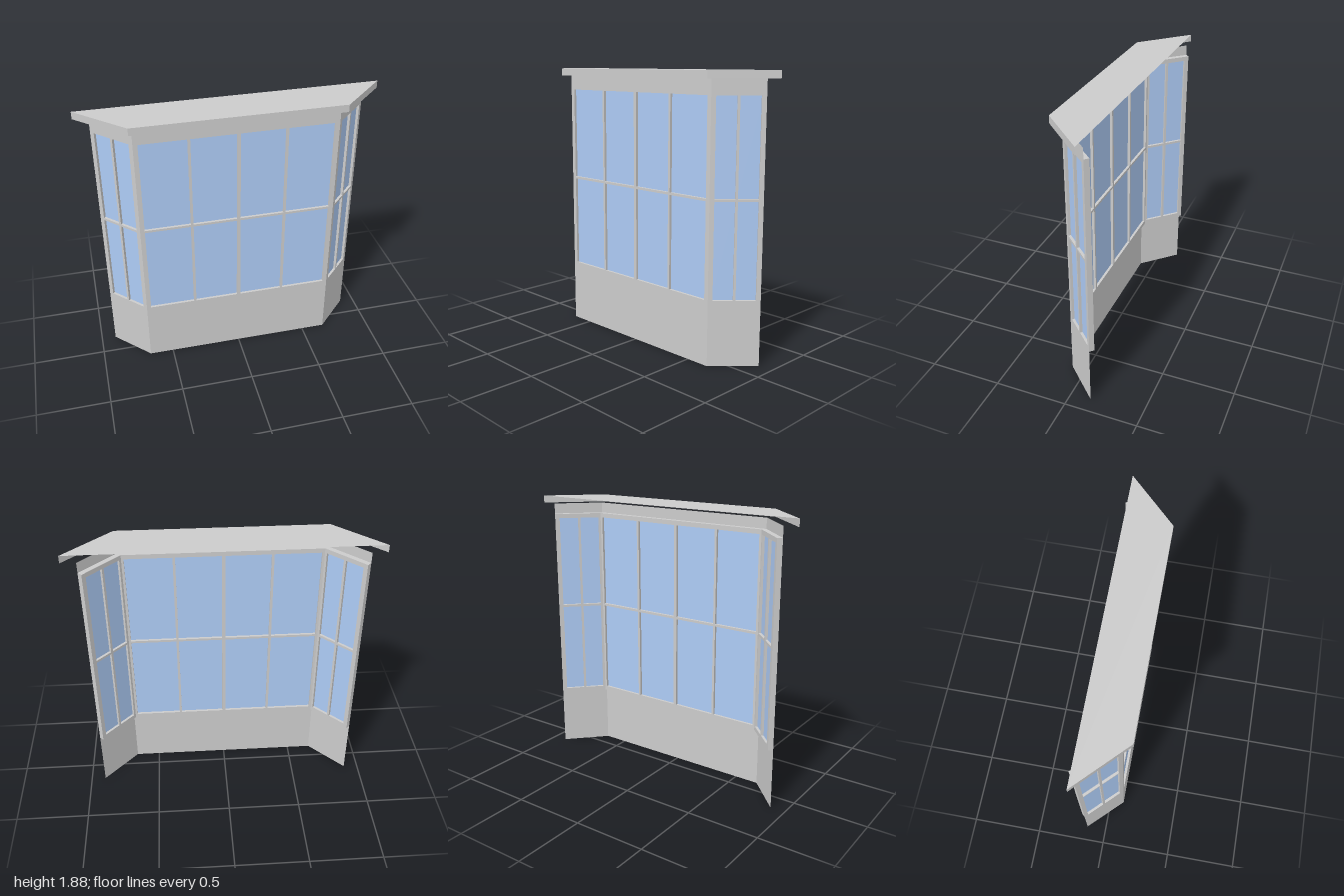
import * as THREE from 'three';

const SILL = 0.41, HEAD = 1.76, TOP = 1.83, ROOF = 1.88;
const FRAME = 0.03, DEPTH = 0.035;

const grey = new THREE.MeshStandardMaterial({ color: 0xcccccc, side: THREE.DoubleSide, flatShading: true });
const blue = new THREE.MeshStandardMaterial({ color: 0xadcbf5, side: THREE.DoubleSide });

function add(group, name, geometry, material = grey) {
  const mesh = new THREE.Mesh(geometry, material);
  mesh.name = name;
  group.add(mesh);
  return mesh;
}

function rectangle(Type, x0, y0, x1, y1) {
  const r = new Type();
  r.moveTo(x0, y0);
  r.lineTo(x1, y0);
  r.lineTo(x1, y1);
  r.lineTo(x0, y1);
  r.closePath();
  return r;
}

// Thin upright sheet between two plan points [x, z]
function sheet(a, b, y0, y1) {
  const g = new THREE.PlaneGeometry(Math.hypot(b[0] - a[0], b[1] - a[1]), y1 - y0);
  g.rotateY(Math.atan2(a[1] - b[1], b[0] - a[0]));
  g.translate((a[0] + b[0]) / 2, (y0 + y1) / 2, (a[1] + b[1]) / 2);
  return g;
}

// Window facing +z, outer face at z = 0; bars are [position, width] across the opening
function makeWindow(width, bars) {
  const win = new THREE.Group();
  const w = width / 2;
  const shape = rectangle(THREE.Shape, -w, SILL, w, HEAD);
  const cells = (lo, hi, list) => {
    const out = [];
    let start = lo;
    for (const [p, t] of list) {
      out.push([start, p - t / 2]);
      start = p + t / 2;
    }
    out.push([start, hi]);
    return out;
  };
  const columns = cells(-w + FRAME, w - FRAME, bars);
  const rows = cells(SILL + FRAME, HEAD - FRAME, [[1.087, 0.016]]);
  for (const [x0, x1] of columns)
    for (const [y0, y1] of rows) shape.holes.push(rectangle(THREE.Path, x0, y0, x1, y1));
  const frame = new THREE.ExtrudeGeometry(shape, { depth: DEPTH, bevelEnabled: false });
  add(win, 'windowFrame', frame.translate(0, 0, -DEPTH));

  const pane = new THREE.PlaneGeometry(width - FRAME, HEAD - SILL - FRAME);
  add(win, 'glass', pane.translate(0, (SILL + HEAD) / 2, -DEPTH / 2), blue);
  return win;
}

export function createModel() {
  const model = new THREE.Group();
  model.name = 'bayWindow';

  // Three bays along the plan outline
  const plan = [[-0.9, -0.14], [-0.665, 0.1], [0.665, 0.1], [0.9, -0.14]];
  const names = ['rightBay', 'frontBay', 'leftBay'];
  const frontBars = [[-0.318, 0.016], [0, 0.022], [0.318, 0.016]];
  names.forEach((name, i) => {
    const a = plan[i], b = plan[i + 1];
    const bay = new THREE.Group();
    bay.name = name;
    add(bay, 'lowerWall', sheet(a, b, 0, SILL));
    add(bay, 'header', sheet(a, b, HEAD, TOP));
    const width = Math.hypot(b[0] - a[0], b[1] - a[1]);
    const win = makeWindow(width, i === 1 ? frontBars : [[0, 0.016]]);
    win.name = 'window';
    win.position.set((a[0] + b[0]) / 2, 0, (a[1] + b[1]) / 2);
    win.rotation.y = Math.atan2(a[1] - b[1], b[0] - a[0]);
    bay.add(win);
    model.add(bay);
  });

  // Flat roof, open underneath and at the back, with a fascia on three sides
  const eaves = [[-1, -0.14], [-0.69, 0.165], [0.69, 0.165], [1, -0.14]];
  const roof = new THREE.Group();
  roof.name = 'roof';
  const outline = new THREE.Shape(eaves.map(([x, z]) => new THREE.Vector2(x, -z)));
  add(roof, 'roofTop', new THREE.ShapeGeometry(outline).rotateX(-Math.PI / 2).translate(0, ROOF, 0));
  for (let i = 0; i < 3; i++) add(roof, 'fascia', sheet(eaves[i], eaves[i + 1], TOP, ROOF));
  model.add(roof);

  return model;
}
